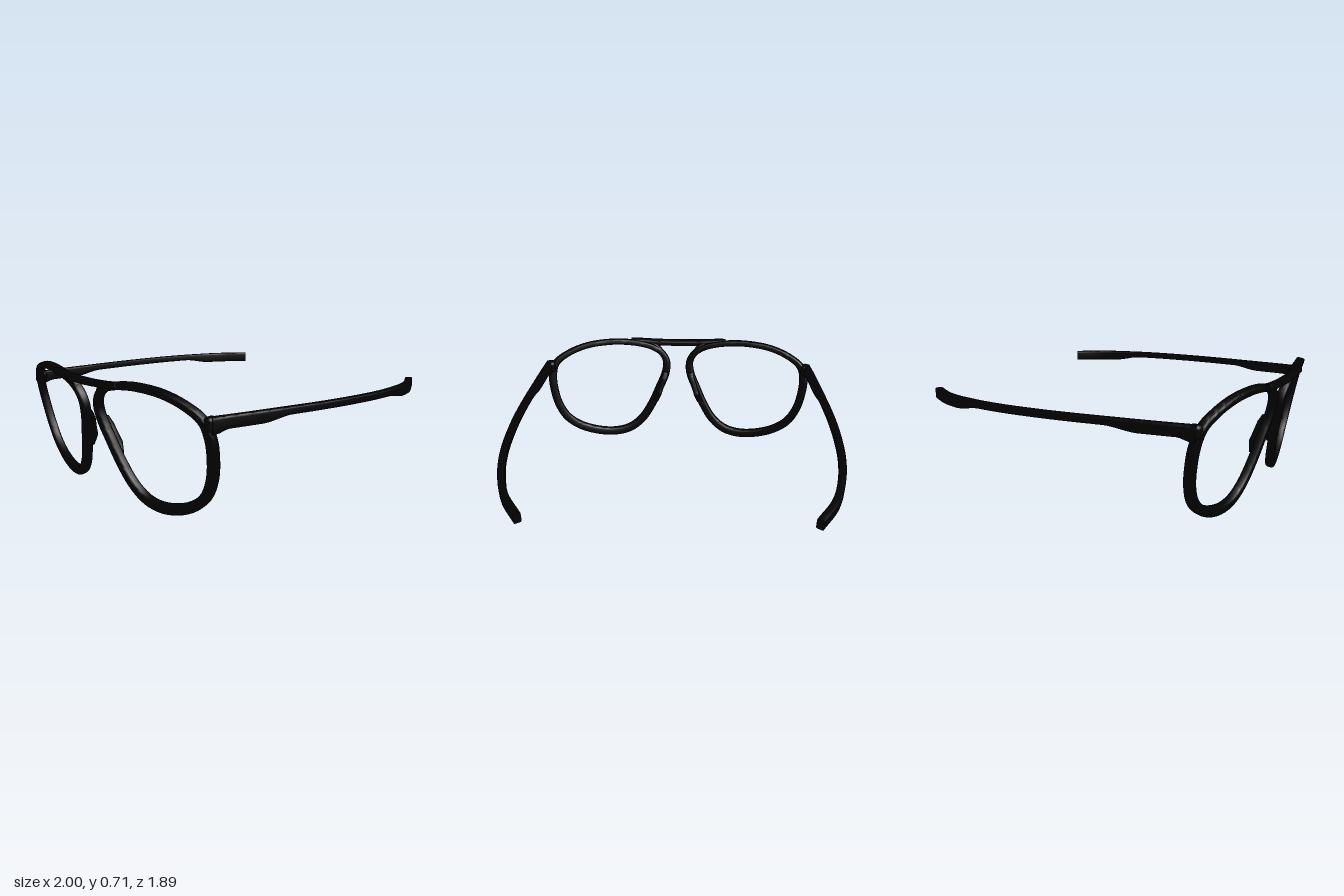
import * as THREE from 'three';
import { toCreasedNormals } from 'three/addons/utils/BufferGeometryUtils.js';
import { RoundedBoxGeometry } from 'three/addons/geometries/RoundedBoxGeometry.js';

const black = new THREE.MeshStandardMaterial({ color: 0x020202 });
const V = (x, y, z) => new THREE.Vector3(x, y, z);
const { smoothstep } = THREE.MathUtils;

// The wrapped, tilted surface on which both rims lie
const lensZ = (x, y) => 0.91 - 0.21 * (0.69 - y) - 0.16 * x * x;
const lensNormal = (p) => V(0.32 * p.x, -0.21, 1);

// Sweeps a rounded rectangle along a curve; size(p, t) gives [across, along up]
function sweep(curve, steps, up, size, closed = false, power = 0.5) {
  const SIDES = 16, pos = [], idx = [];
  const rings = closed ? steps : steps + 1;
  for (let i = 0; i < rings; i++) {
    const t = i / steps, p = curve.getPointAt(t), T = curve.getTangentAt(t);
    const N = up(p).clone();
    N.addScaledVector(T, -N.dot(T)).normalize();
    const B = N.clone().cross(T);
    const [w, h] = size(p, t);
    for (let j = 0; j < SIDES; j++) {
      const a = (j + 0.5) / SIDES * Math.PI * 2, c = Math.cos(a), s = Math.sin(a);
      const q = p.clone()
        .addScaledVector(B, Math.sign(c) * Math.abs(c) ** power * w / 2)
        .addScaledVector(N, Math.sign(s) * Math.abs(s) ** power * h / 2);
      pos.push(q.x, q.y, q.z);
    }
  }
  for (let i = 0; i < steps; i++) {
    const r0 = i * SIDES, r1 = ((i + 1) % rings) * SIDES;
    for (let j = 0; j < SIDES; j++) {
      const k = (j + 1) % SIDES;
      idx.push(r0 + j, r0 + k, r1 + j, r0 + k, r1 + k, r1 + j);
    }
  }
  if (!closed) {
    const e = steps * SIDES;
    for (let j = 1; j < SIDES - 1; j++) idx.push(0, j + 1, j, e, e + j, e + j + 1);
  }
  const g = new THREE.BufferGeometry();
  g.setAttribute('position', new THREE.Float32BufferAttribute(pos, 3));
  g.setIndex(idx);
  return toCreasedNormals(g, 0.7);
}

function add(group, name, geometry) {
  const m = new THREE.Mesh(geometry, black);
  m.name = name;
  group.add(m);
  return m;
}

// Outline of one rim, seen from the front
const RIM = [
  [0.48, 0.692], [0.64, 0.678], [0.77, 0.636], [0.86, 0.575], [0.888, 0.49], [0.882, 0.38],
  [0.855, 0.27], [0.80, 0.17], [0.71, 0.097], [0.59, 0.049], [0.46, 0.032], [0.35, 0.055],
  [0.26, 0.123], [0.19, 0.23], [0.135, 0.35], [0.09, 0.46], [0.083, 0.54], [0.115, 0.602],
  [0.18, 0.645], [0.27, 0.672], [0.37, 0.687],
];
// Temple path, seen from above
const TEMPLE = [
  [0.903, 0.755], [0.922, 0.6], [0.95, 0.33], [0.97, 0.1], [0.978, -0.1],
  [0.971, -0.35], [0.938, -0.57], [0.875, -0.77], [0.773, -0.935],
];
// Nose pad path along the rim, seen from the front, with the pad's depth
const PAD = [
  [0.088, 0.475, 0.03], [0.1, 0.43, 0.06], [0.125, 0.36, 0.07], [0.138, 0.32, 0.08], [0.163, 0.265, 0.03],
];

export function createModel() {
  const group = new THREE.Group();
  group.name = 'glasses';

  for (const [side, s] of [['left', 1], ['right', -1]]) {
    // Rim, slimmer along the top
    const rim = new THREE.CatmullRomCurve3(RIM.map(([x, y]) => V(s * x, y, lensZ(x, y))), true);
    add(group, side + 'Rim', sweep(rim, 120, lensNormal,
      (p) => [0.057 - 0.018 * smoothstep(p.y, 0.45, 0.67), 0.052], true));

    // Nose pad behind the inner edge of the rim
    const pad = new THREE.CatmullRomCurve3(PAD.map(([x, y]) => V(s * x, y, lensZ(x, y) - 0.022)));
    const depth = (y) => {
      const i = Math.max(1, PAD.findIndex((q) => q[1] <= y + 1e-6));
      return THREE.MathUtils.mapLinear(y, PAD[i - 1][1], PAD[i][1], PAD[i - 1][2], PAD[i][2]);
    };
    add(group, side + 'NosePad', sweep(pad, 24, lensNormal, (p) => [0.04, depth(p.y)]));

    // End piece joining rim and temple
    const end = add(group, side + 'EndPiece', new RoundedBoxGeometry(0.052, 0.076, 0.07, 4, 0.022));
    end.position.set(s * 0.892, 0.56, 0.745);
    end.rotation.y = s * 0.3;

    // Temple: level top, slimmer in the middle, curving in at the back
    const temple = new THREE.CatmullRomCurve3(TEMPLE.map(([x, z]) => V(s * x, 0.597, z)));
    const height = (z) => 0.04
      + 0.025 * (smoothstep(z, 0.28, 0.47) + 1 - smoothstep(z, -0.67, -0.48))
      + 0.02 * smoothstep(z, 0.66, 0.74);
    const arm = sweep(temple, 90, () => V(0, 1, 0), (p) => [0.044, height(p.z)], false, 0.3);
    // Drop each section so the top edge stays level
    const a = arm.attributes.position;
    for (let i = 0; i < a.count; i++) {
      a.setY(i, a.getY(i) - height(a.getZ(i)) / 2);
    }
    add(group, side + 'Temple', toCreasedNormals(arm, 0.7));

    // Short strut tying the bridge to the inner corner of the rim
    const strut = new THREE.CatmullRomCurve3([
      V(s * 0.125, 0.62, 0.89), V(s * 0.15, 0.648, 0.9), V(s * 0.19, 0.67, 0.912)]);
    add(group, side + 'Strut', sweep(strut, 10, () => V(0, 0, 1), () => [0.032, 0.04]));
  }

  // Bridge bar lying over the front of both rims
  const bar = [-0.335, -0.22, -0.1, 0, 0.1, 0.22, 0.335]
    .map((x) => V(x, 0.671 + 0.14 * x * x, 0.921 - 0.05 * x * x));
  add(group, 'bridge', sweep(new THREE.CatmullRomCurve3(bar), 60, () => V(0, 0, 1),
    (p) => [0.038 - 0.01 * Math.abs(p.x), 0.053 - 0.022 * smoothstep(Math.abs(p.x), 0.29, 0.335)]));
  return group;
}
